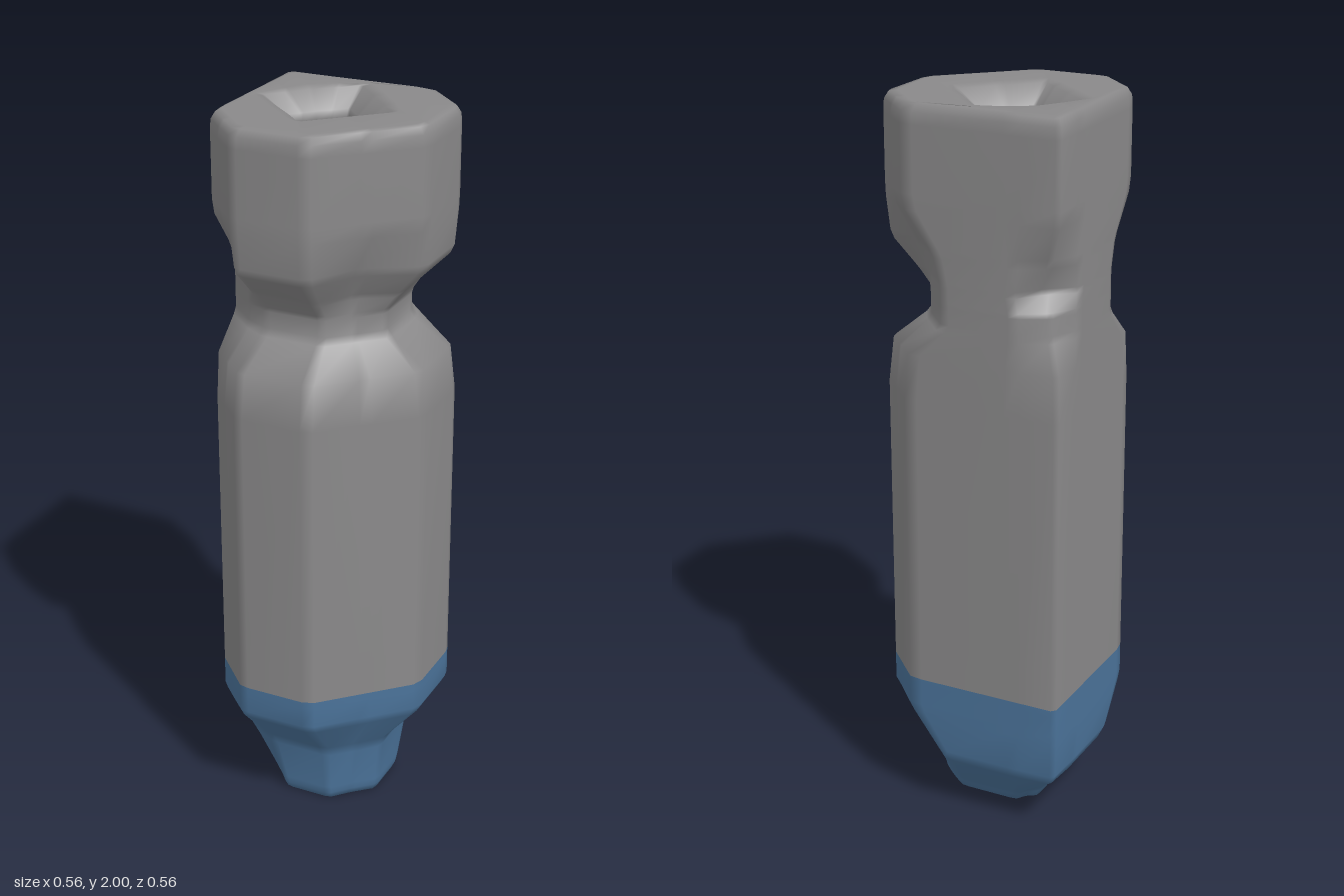
import * as THREE from 'three';

// Each section lists seven [x, z] points from the back-left corner round to the front-right
// chamfer; the other five come from swapping x and z, since the body mirrors on that diagonal.
const mirrorSection = (half) => [...half, ...half.slice(1, 6).reverse().map(([x, z]) => [z, x])];
const BODY = mirrorSection([[-0.28, -0.28], [-0.16, -0.28], [0.16, -0.28], [0.22, -0.22], [0.28, -0.16], [0.28, 0.05], [0.165, 0.165]]);
const BASE = mirrorSection([[-0.12, -0.12], [-0.1, -0.15], [0.08, -0.15], [0.12, -0.12], [0.155, -0.09], [0.155, 0.05], [0.1, 0.1]]);
const FOOT = mirrorSection([[-0.275, -0.275], [-0.16, -0.28], [0.06, -0.28], [0.13, -0.2], [0.165, -0.13], [0.165, 0.05], [0.11, 0.11]]);
const NECK = mirrorSection([[-0.24, -0.24], [-0.16, -0.28], [0.05, -0.28], [0.13, -0.19], [0.16, -0.13], [0.16, 0.04], [0.1, 0.1]]);
const THROAT = mirrorSection([[-0.205, -0.205], [-0.15, -0.28], [0.05, -0.28], [0.13, -0.19], [0.19, -0.15], [0.2, 0.04], [0.1, 0.1]]);
const JAW = mirrorSection([[-0.235, -0.235], [-0.16, -0.28], [0.07, -0.28], [0.16, -0.19], [0.275, -0.155], [0.275, 0.05], [0.13, 0.13]]);
const HOLE = mirrorSection([[-0.105, -0.105], [-0.075, -0.13], [-0.045, -0.16], [0, -0.11], [0.035, -0.07], [0.06, -0.045], [0.0075, 0.0075]]);

const scaleSection = (s, k, c = 0) => s.map(([x, z]) => [c + (x - c) * k, c + (z - c) * k]);
const ring = (y, section) => section.map(([x, z]) => new THREE.Vector3(x, y, z));

// Cut the corners of a closed ring so smooth normals give softly rounded edges
function softenRing(points, t = 0.1) {
  return points.flatMap((p, i) => {
    const q = points[(i + 1) % points.length];
    return [p.clone().lerp(q, t), p.clone().lerp(q, 1 - t)];
  });
}

// Same rounding from ring to ring
function softenStack(rings, t = 0.12) {
  const out = [rings[0]];
  for (let j = 0; j < rings.length - 1; j++) {
    for (const k of [t, 1 - t]) out.push(rings[j].map((p, i) => p.clone().lerp(rings[j + 1][i], k)));
  }
  out.push(rings[rings.length - 1]);
  return out;
}

function loft(rings, isBlue) {
  const n = rings[0].length;
  const positions = rings.flat().flatMap((p) => [p.x, p.y, p.z]);
  const blue = [], grey = [];
  for (let j = 0; j < rings.length - 1; j++) {
    const target = isBlue(rings[j][0].y, j) ? blue : grey;
    for (let i = 0; i < n; i++) {
      const a = j * n + i, b = j * n + (i + 1) % n;
      target.push(a, a + n, b, b, a + n, b + n);
    }
  }
  const geo = new THREE.BufferGeometry();
  geo.setAttribute('position', new THREE.Float32BufferAttribute(positions, 3));
  geo.setIndex([...blue, ...grey]);
  geo.addGroup(0, blue.length, 0);
  geo.addGroup(blue.length, grey.length, 1);
  geo.computeVertexNormals();
  return geo;
}

export function createModel() {
  const blue = new THREE.MeshStandardMaterial({ color: 0x4b739a });
  blue.name = 'blue';
  const grey = new THREE.MeshStandardMaterial({ color: 0x8a898a });
  grey.name = 'grey';

  const rings = [
    // tapered blue foot
    ring(0, scaleSection(BASE, 0.01)),
    ring(0, scaleSection(BASE, 0.93)),
    ring(0.025, BASE),
    ring(0.175, FOOT),
    ring(0.31, BODY),
    // colour seam and straight body
    ring(0.39, BODY),
    ring(0.4, BODY),
    ring(1.33, BODY),
    // notched neck
    ring(1.43, NECK),
    ring(1.49, NECK),
    ring(1.54, THROAT),
    ring(1.62, JAW),
    // head
    ring(1.74, BODY),
    ring(1.975, BODY),
    ring(2, scaleSection(BODY, 0.95)),
    // dished rim and hollow
    ring(2, scaleSection(HOLE, 1.8, -0.05)),
    ring(1.94, HOLE),
    ring(1.84, scaleSection(HOLE, 1.1, -0.05)),
    ring(1.77, scaleSection(HOLE, 0.7, -0.05)),
    ring(1.755, scaleSection(HOLE, 0.01, -0.05)),
  ];

  const stack = softenStack(rings.map((r) => softenRing(r)));
  const body = new THREE.Mesh(loft(stack, (y) => y < 0.398), [blue, grey]);
  body.name = 'bottleBody';

  const group = new THREE.Group();
  group.name = 'bottle';
  group.add(body);
  return group;
}
